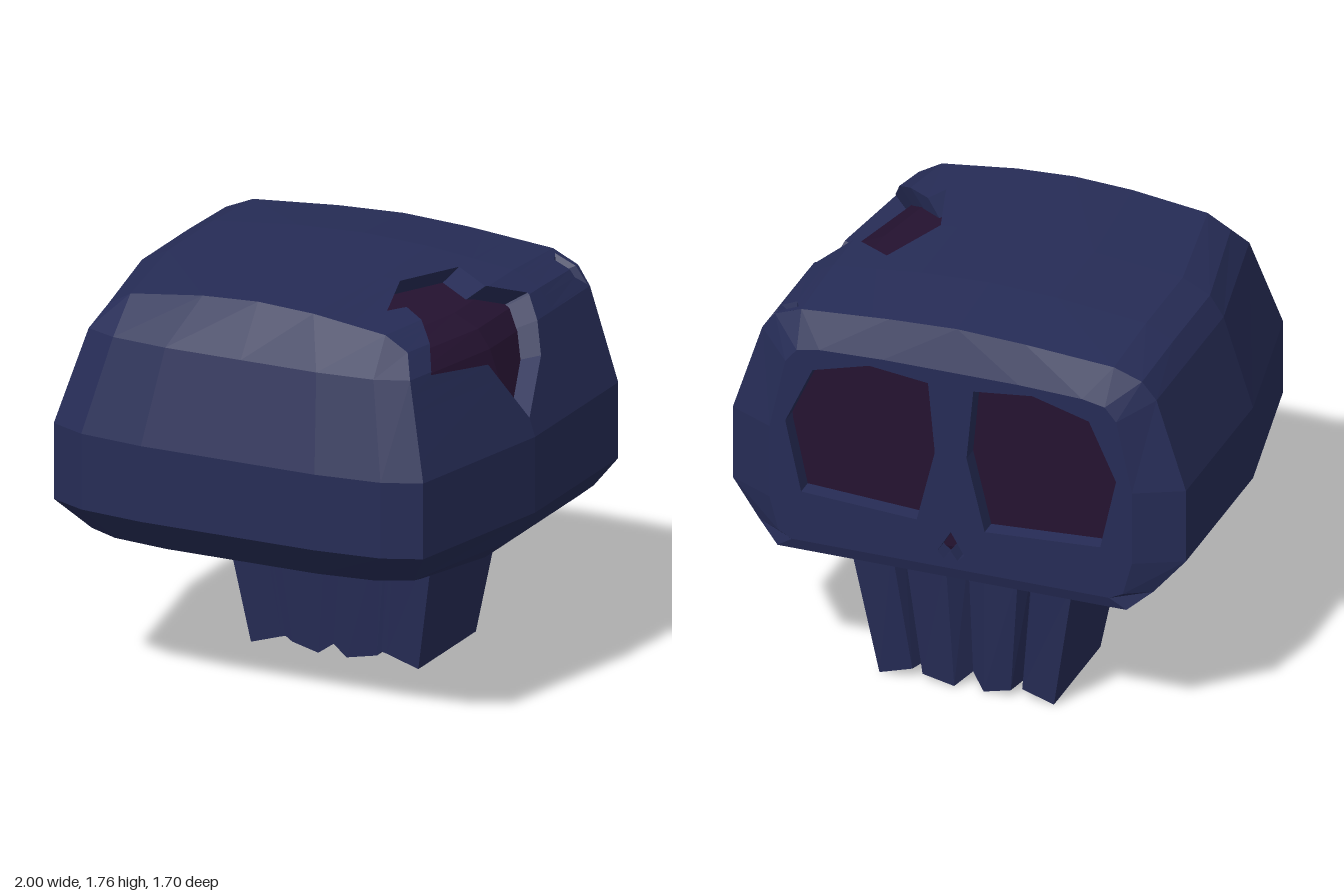
import * as THREE from 'three';

const V = (x, y, z) => new THREE.Vector3(x, y, z);
const CENTRE = V(0, 1.15, 0);
const BONE = new THREE.MeshStandardMaterial({ color: 0x262c56, flatShading: true, side: THREE.DoubleSide });
const DARK = new THREE.MeshStandardMaterial({ color: 0x241230, flatShading: true, side: THREE.DoubleSide });

// Half cross-section from crown to underside:
// x, y, back z, front z, drop at the brow, face outline x, face outline y
const SECTION = [
  [0, 1.765, -0.77, 0.57, 0.03, 0, 1.57],
  [0.3, 1.752, -0.77, 0.57, 0.03, 0.3, 1.57],
  [0.69, 1.71, -0.765, 0.57, 0.02, 0.58, 1.56],
  [0.81, 1.65, -0.755, 0.57, 0.01, 0.68, 1.54],
  [0.87, 1.56, -0.745, 0.65, 0, 0.73, 1.48],
  [1, 1.16, -0.745, 0.75, 0, 0.8, 1.16],
  [1, 0.83, -0.745, 0.75, 0, 0.8, 0.83],
  [0.87, 0.68, -0.78, 0.62, 0, 0.76, 0.68],
  [0.77, 0.6, -0.83, 0.38, 0, 0.7, 0.65],
];
const TAPER = 0.85, BEND = 0.02, BACK = -0.75, FRONT = 1, FACE_Z = -0.845;

// Distance round the section, measured as |dx| + |dy|
const U = [0];
for (let i = 1; i < SECTION.length; i++) {
  const [a, b] = [SECTION[i - 1], SECTION[i]];
  U.push(U[i - 1] + Math.abs(a[0] - b[0]) + Math.abs(a[1] - b[1]));
}

// Point on the cranium at distance u round the section and depth z
function surface(u, z) {
  const a = Math.abs(u);
  let i = 0;
  while (i < U.length - 2 && a > U[i + 1]) i++;
  const t = (a - U[i]) / (U[i + 1] - U[i]);
  const [x, y, zb, zf, drop] = SECTION[i].map((v, k) => v + (SECTION[i + 1][k] - v) * t);
  const zz = z <= BACK ? zb : z >= FRONT ? zf : z;
  const narrow = 1 - (1 - TAPER) * Math.max(0, (zz - BEND) / (zf - BEND));
  const sink = drop * Math.max(0, (-0.4 - zz) / 0.37);
  return V(Math.sign(u) * x * narrow, y - sink, zz);
}

// Triangle collector; turns faces away from the given centre
function soup() {
  const pos = [];
  const tri = (a, b, c, from) => {
    const n = b.clone().sub(a).cross(c.clone().sub(a));
    if (n.lengthSq() < 1e-14) return;
    const mid = a.clone().add(b).add(c).divideScalar(3);
    const flip = from && n.dot(mid.sub(from)) < 0;
    for (const p of flip ? [a, c, b] : [a, b, c]) pos.push(p.x, p.y, p.z);
  };
  const quad = (a, b, c, d, from) => { tri(a, b, c, from); tri(a, c, d, from); };
  const geometry = () => {
    const g = new THREE.BufferGeometry();
    g.setAttribute('position', new THREE.Float32BufferAttribute(pos, 3));
    g.computeVertexNormals();
    return g;
  };
  return { tri, quad, geometry };
}

// Cranium shell in slabs round the section, leaving the broken openings clear
function craniumGeometry(holes) {
  const s = soup();
  const edges = holes.flatMap(({ points, inset }) => points.map((a, i) => {
    const b = points[(i + 1) % points.length];
    return { a: a[0] < b[0] ? a : b, b: a[0] < b[0] ? b : a, inset };
  }));
  const stops = [...new Set([...U, ...U.map((u) => -u), ...holes.flatMap((h) => h.points.map((p) => p[0]))])]
    .sort((a, b) => a - b);
  const line = (z) => ({ a: [-9, z], b: [9, z], plain: true });
  for (let i = 0; i < stops.length - 1; i++) {
    const [u0, u1] = [stops[i], stops[i + 1]];
    if (u1 - u0 < 1e-6) continue;
    const at = (e, u) => e.a[1] + (e.b[1] - e.a[1]) * (u - e.a[0]) / (e.b[0] - e.a[0]);
    const mid = (u0 + u1) / 2;
    const cuts = [...edges, line(BACK), line(-0.4), line(BEND), line(FRONT)]
      .filter((e) => e.a[0] < mid && e.b[0] > mid)
      .sort((p, q) => at(p, mid) - at(q, mid));
    let inside = false;
    cuts.forEach((e, k) => {
      const [p, q] = [surface(u0, at(e, u0)), surface(u1, at(e, u1))];
      if (!e.plain) {
        inside = !inside;
        s.quad(p, q, e.inset(q), e.inset(p)); // broken edge
      }
      const n = cuts[k + 1];
      if (n && !inside) s.quad(p, q, surface(u1, at(n, u1)), surface(u0, at(n, u0)), CENTRE);
    });
  }
  // Rounded far end, row by row
  const cols = [-3, -2, -1, 0, 1, 2, 3], ratio = [0, 0.47, 0.81, 1], bulge = [0.1, 0.1, 0.07, 0];
  const rows = [8, 7, 6, 5, 4].map((r) => cols.map((c) => {
    const p = surface(U[r], FRONT), k = Math.abs(c);
    return V(p.x * ratio[k] * Math.sign(c), p.y, p.z + bulge[k] * (r === 4 ? 0.8 : 1));
  }));
  rows.push(cols.map((c) => surface(Math.sign(c) * U[Math.abs(c)], FRONT)));
  for (let r = 0; r < 5; r++) for (let c = 0; c < 6; c++) {
    s.quad(rows[r][c], rows[r][c + 1], rows[r + 1][c + 1], rows[r + 1][c], CENTRE);
  }
  // Underside
  const end = U[8];
  const rim = [surface(-end, BACK), surface(-end, BEND), ...rows[0], surface(end, BEND), surface(end, BACK)];
  rim.forEach((p, i) => s.tri(V(0, 0.6, 0), p, rim[(i + 1) % rim.length], CENTRE));
  // Chamfer running round the face
  for (const side of [-1, 1]) for (let i = 0; i < 8; i++) {
    const f = (k) => V(side * SECTION[k][5], SECTION[k][6], FACE_Z);
    const r = (k) => (k ? surface(side * U[k], BACK) : surface(0, BACK));
    s.quad(r(i), r(i + 1), f(i + 1), f(i), CENTRE);
  }
  s.quad(...[8, -8].flatMap((k) => {
    const f = V(Math.sign(k) * SECTION[8][5], SECTION[8][6], FACE_Z), r = surface(Math.sign(k) * end, BACK);
    return k > 0 ? [r, f] : [f, r];
  }), CENTRE);
  return s.geometry();
}

// Flat face plate with optional openings
function faceGeometry(openings, depth) {
  const half = SECTION.map((p) => new THREE.Vector2(p[5], p[6]));
  const mirrored = half.slice(1).reverse().map((p) => new THREE.Vector2(-p.x, p.y));
  const shape = new THREE.Shape([...half, ...mirrored]);
  for (const o of openings) shape.holes.push(new THREE.Path(o.map(([x, y]) => new THREE.Vector2(x, y))));
  return new THREE.ExtrudeGeometry(shape, { depth, bevelEnabled: false }).translate(0, 0, FACE_Z);
}

// Upper teeth block: columns of x, lower edge y, groove depth
function teethGeometry() {
  const s = soup();
  const cols = [
    [-0.39, 0, 0], [-0.25, 0.045, 0], [-0.23, 0.05, 0.06], [-0.2, 0.03, 0], [-0.08, 0, 0], [-0.01, 0.05, 0.06],
    [0.05, 0, 0], [0.19, 0.03, 0], [0.21, 0.05, 0.06], [0.235, 0.045, 0], [0.38, 0, 0],
  ];
  const ring = cols.map(([x, y, g]) => [
    V(x * 1.28, 0.62, -0.738 + g), V(x, y, -0.675 + g), V(x, y, -0.145), V(x * 1.28, 0.62, -0.08),
  ]);
  const mid = V(0, 0.35, -0.4);
  for (let i = 0; i < ring.length - 1; i++) for (let k = 0; k < 4; k++) {
    const n = (k + 1) % 4;
    s.quad(ring[i][k], ring[i + 1][k], ring[i + 1][n], ring[i][n], mid);
  }
  for (const r of [ring[0], ring.at(-1)]) s.quad(...r, mid);
  return s.geometry();
}

export function createModel() {
  const model = new THREE.Group();
  model.name = 'skull';
  const add = (name, geometry, material, parent = model) => {
    const mesh = new THREE.Mesh(geometry, material);
    mesh.name = name;
    parent.add(mesh);
    return mesh;
  };

  // Jagged break in the crown and a small chip at the brow corner
  const chipFloor = V(0.74, 1.61, -0.7);
  const crack = {
    points: [[0.4, 0.02], [0.535, -0.28], [0.735, -0.16], [0.91, -0.31], [1.247, -0.21],
      [1.5, 0.02], [1.155, 0.17], [1.09, 0.52], [0.6, 0.25], [0.56, 0.34]],
    inset: (p) => p.clone().sub(CENTRE).multiplyScalar(0.87).add(CENTRE),
  };
  const chip = {
    points: [[0.78, -0.735], [0.82, -0.68], [0.98, -0.68], [1.06, -0.735]],
    inset: () => chipFloor.clone(),
  };
  add('cranium', craniumGeometry([crack, chip]), BONE);

  // Face plate with eye sockets and nose
  const eye = [[0.1, 1.5], [0.36, 1.53], [0.61, 1.46], [0.73, 1.2], [0.66, 0.88], [0.15, 0.85], [0.07, 1.18]];
  const nose = [[0, 0.82], [0.06, 0.72], [0.03, 0.69], [0, 0.73], [-0.03, 0.69], [-0.06, 0.72]];
  add('face', faceGeometry([eye, eye.map(([x, y]) => [-x, y]), nose], 0.1), BONE);

  // Dark filling seen through the openings
  const hollow = new THREE.Group();
  hollow.name = 'hollow';
  add('hollowShell', craniumGeometry([]), DARK, hollow);
  add('hollowFace', faceGeometry([], 0.02), DARK, hollow);
  hollow.scale.set(0.91, 0.88, 0.91);
  hollow.position.y = CENTRE.y * (1 - 0.88);
  model.add(hollow);

  add('teeth', teethGeometry(), BONE);
  return model;
}
